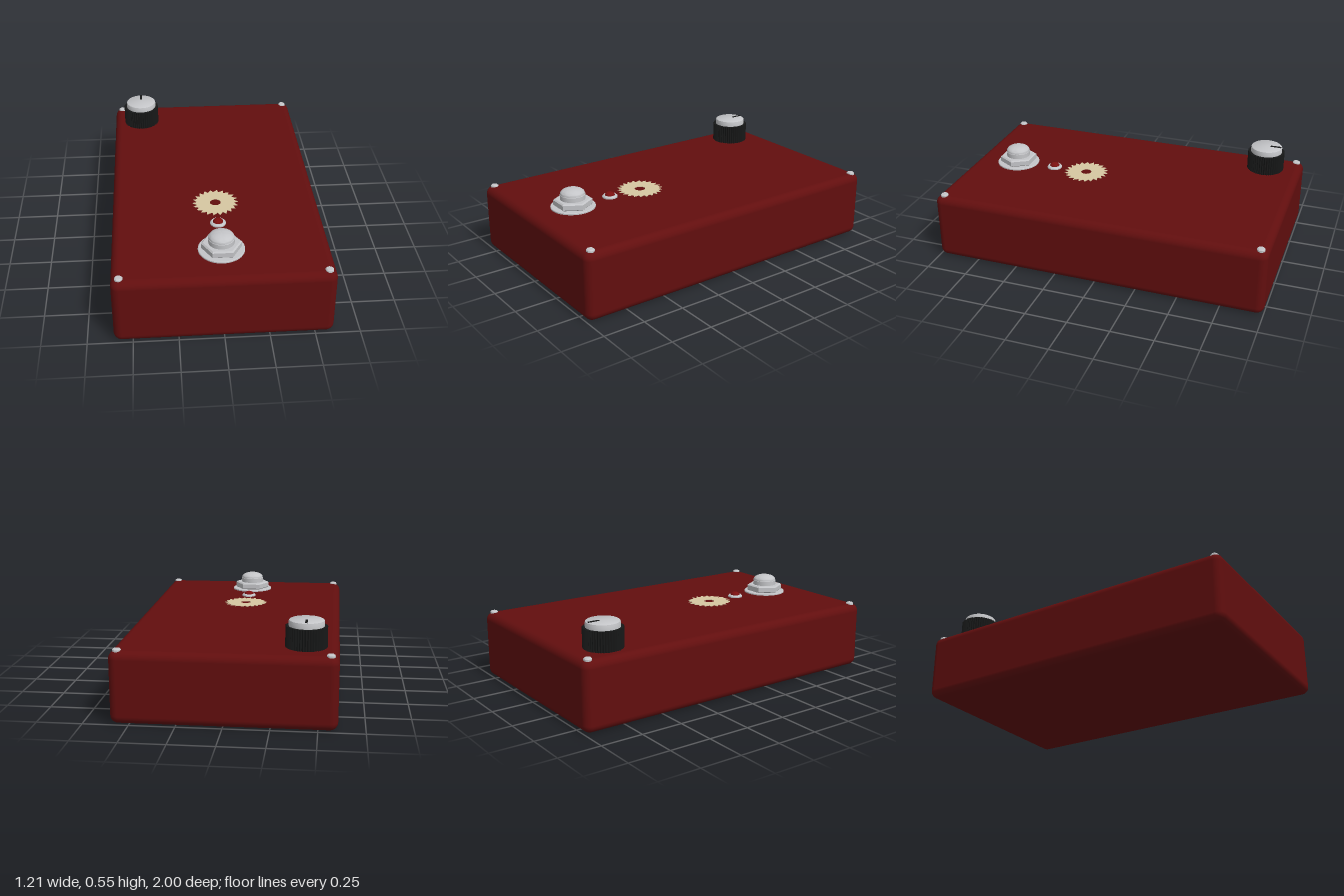
import * as THREE from 'three';
import { RoundedBoxGeometry } from 'three/addons/geometries/RoundedBoxGeometry.js';
import { toCreasedNormals } from 'three/addons/utils/BufferGeometryUtils.js';

const TOP = 0.4;

function material(name, color) {
  const m = new THREE.MeshStandardMaterial({ color });
  m.name = name;
  return m;
}

function add(parent, name, geometry, mat, x = 0, y = 0, z = 0) {
  const mesh = new THREE.Mesh(geometry, mat);
  mesh.name = name;
  mesh.position.set(x, y, z);
  parent.add(mesh);
  return mesh;
}

// Turned part from [radius, height] pairs, listed bottom to top
function turned(points, sides = 40) {
  const g = new THREE.LatheGeometry(points.map(([r, y]) => new THREE.Vector2(r, y)), sides);
  return toCreasedNormals(g, 0.6);
}

// Dome profile rising from (r, y) to the axis
function dome(r, y, h, steps = 8) {
  return Array.from({ length: steps + 1 }, (_, i) => {
    const a = (i / steps) * Math.PI / 2;
    return [i === steps ? 0 : r * Math.cos(a), y + h * Math.sin(a)];
  });
}

// Toothed outline; skew shifts the valleys for a saw-blade look
function toothed(teeth, outer, inner, skew = 0.5) {
  const pts = [];
  for (let i = 0; i < teeth; i++) {
    [[outer, i], [inner, i + skew]].forEach(([r, k]) => {
      const a = (k / teeth) * Math.PI * 2;
      pts.push(new THREE.Vector2(r * Math.cos(a), r * Math.sin(a)));
    });
  }
  return new THREE.Shape(pts);
}

// Extrude a flat shape upwards
function upright(shape, depth) {
  return new THREE.ExtrudeGeometry(shape, { depth, bevelEnabled: false, curveSegments: 32 })
    .rotateX(-Math.PI / 2);
}

export function createModel() {
  const model = new THREE.Group();
  model.name = 'effectPedal';
  const red = material('enclosureRed', 0x620e0e);
  const silver = material('silver', 0xc4c5c8);
  const black = material('black', 0x171818);
  const cream = material('cream', 0xd6c7a2);
  const lens = material('lensRed', 0x7a1010);

  // Enclosure
  add(model, 'enclosure', new RoundedBoxGeometry(1.21, TOP, 2, 6, 0.045), red, 0, TOP / 2, 0);

  // Corner screws
  for (const x of [-0.56, 0.56]) {
    for (const z of [-0.955, 0.95]) {
      add(model, 'screw', turned([[0.023, -0.012], [0.023, 0.004], [0.017, 0.01], [0, 0.011]], 20),
        silver, x, TOP, z);
    }
  }

  // Control knob: fluted skirt, metal cap, pointer
  const knob = new THREE.Group();
  knob.name = 'knob';
  knob.position.set(-0.427, TOP, -0.78);
  model.add(knob);
  add(knob, 'knobSkirt', upright(toothed(48, 0.113, 0.107), 0.115), black);
  add(knob, 'knobCap', turned([[0.096, 0.11], [0.096, 0.14], [0.094, 0.146], [0.088, 0.15], [0, 0.15]], 48), silver);
  add(knob, 'knobPointer', new THREE.BoxGeometry(0.013, 0.006, 0.065), black, 0, 0.15, -0.057);

  // Saw-toothed emblem ring
  const ring = toothed(22, 0.135, 0.109, 0.7);
  ring.holes.push(new THREE.Path().absarc(0, 0, 0.032, 0, Math.PI * 2, true));
  add(model, 'toothedRing', upright(ring, 0.003), cream, 0, TOP, 0.265);

  // Indicator lamp: bezel and domed lens
  const lamp = new THREE.Group();
  lamp.name = 'indicatorLamp';
  lamp.position.set(0, TOP, 0.478);
  model.add(lamp);
  add(lamp, 'lampBezel', turned([[0.045, 0], [0.045, 0.007], [0.038, 0.014], [0.03, 0.014], [0.03, 0]]), silver);
  add(lamp, 'lampLens', turned([[0.03, 0], ...dome(0.03, 0.01, 0.022)], 24), lens);

  // Foot switch: washer, hex nut, bushing, button
  const foot = new THREE.Group();
  foot.name = 'footSwitch';
  foot.position.set(0, TOP, 0.727);
  model.add(foot);
  add(foot, 'washer', turned([[0.13, 0], [0.13, 0.007], [0.126, 0.01], [0, 0.01]], 48), silver);
  const nut = turned([[0.106, 0.01], [0.113, 0.016], [0.113, 0.044], [0.104, 0.051], [0, 0.051]], 6);
  nut.rotateY(Math.PI / 6);
  nut.computeBoundingBox();
  // Put two nut corners on the left-right axis
  if (nut.boundingBox.max.x < 0.11) nut.rotateY(Math.PI / 6);
  add(foot, 'hexNut', nut, silver);
  add(foot, 'bushing', turned([[0.073, 0.05], [0.073, 0.078], [0.07, 0.081], [0, 0.081]]), silver);
  add(foot, 'button', turned([[0.071, 0.079], ...dome(0.071, 0.083, 0.031, 10)]), silver);

  return model;
}
